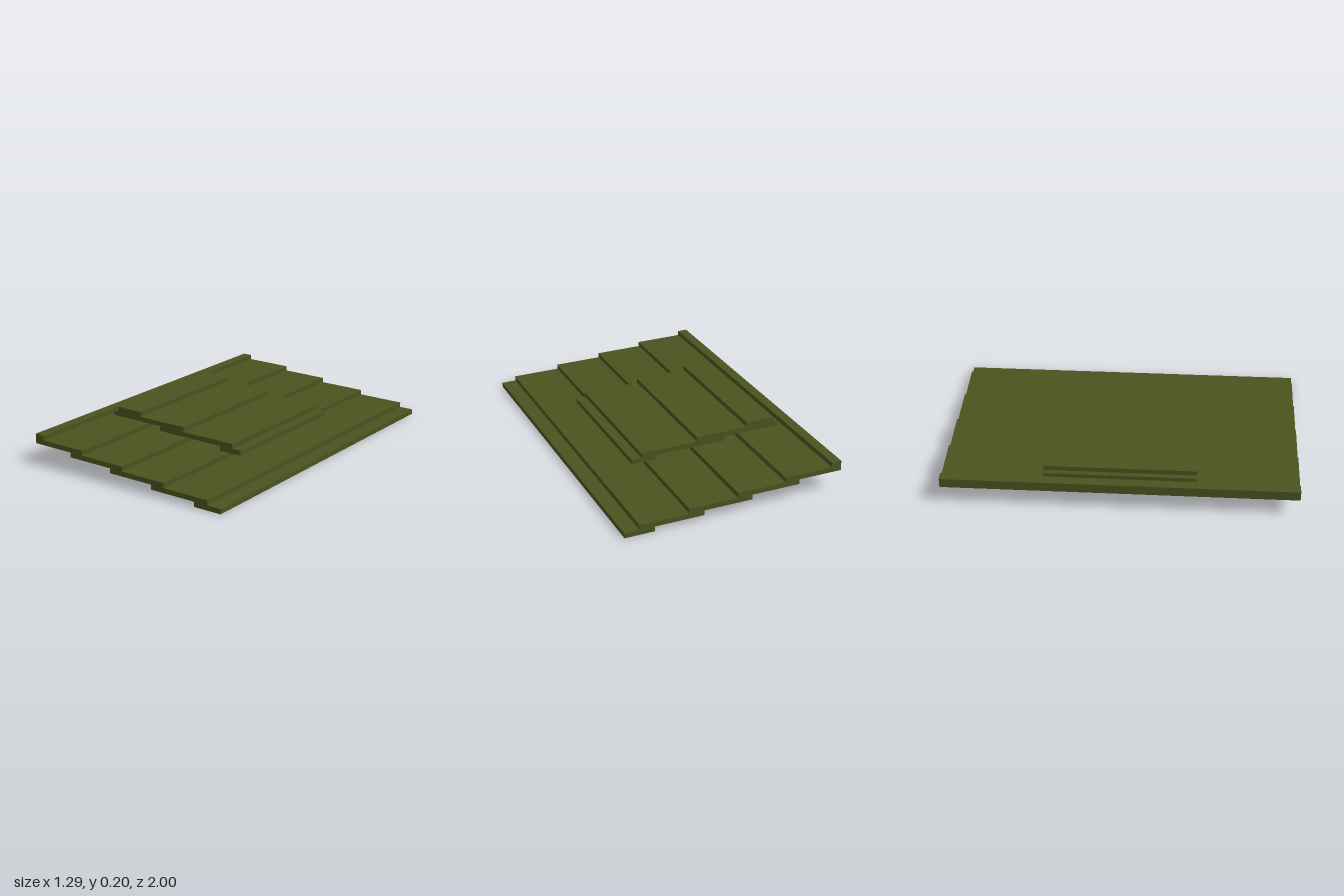
import * as THREE from 'three';

const U = 1 / 35; // one grid step of the blocky design

// Stepped slab: each layer is [left, right] in steps, one step tall, listed bottom up
function steppedSlab(name, layers, baseLevel, length, material) {
  const outline = [];
  const addPoint = (x, level) => outline.push(new THREE.Vector2((x - 22.5) * U, level * U));
  layers.forEach(([, right], i) => {
    addPoint(right, baseLevel + i);
    addPoint(right, baseLevel + i + 1);
  });
  [...layers.keys()].reverse().forEach((i) => {
    addPoint(layers[i][0], baseLevel + i + 1);
    addPoint(layers[i][0], baseLevel + i);
  });
  const geometry = new THREE.ExtrudeGeometry(new THREE.Shape(outline), {
    depth: length * U,
    bevelEnabled: false,
  });
  geometry.translate(0, 0, (-length * U) / 2);
  const mesh = new THREE.Mesh(geometry, material);
  mesh.name = name;
  return mesh;
}

export function createModel() {
  const group = new THREE.Group();
  group.name = 'slopedHatch';
  const olive = new THREE.MeshStandardMaterial({ color: 0x4b5320 });
  olive.name = 'olive green';

  // Full-length sloping plate, with a raised lip along its upper edge
  group.add(steppedSlab('slopedPlate',
    [[39, 45], [29, 42], [19, 32], [9, 22], [0, 12], [0, 2]], 0, 70, olive));

  // Shorter raised panel lying on the middle of the plate
  group.add(steppedSlab('hatchPanel',
    [[30, 35], [15, 33], [3, 21], [4, 10]], 3, 30, olive));

  return group;
}
